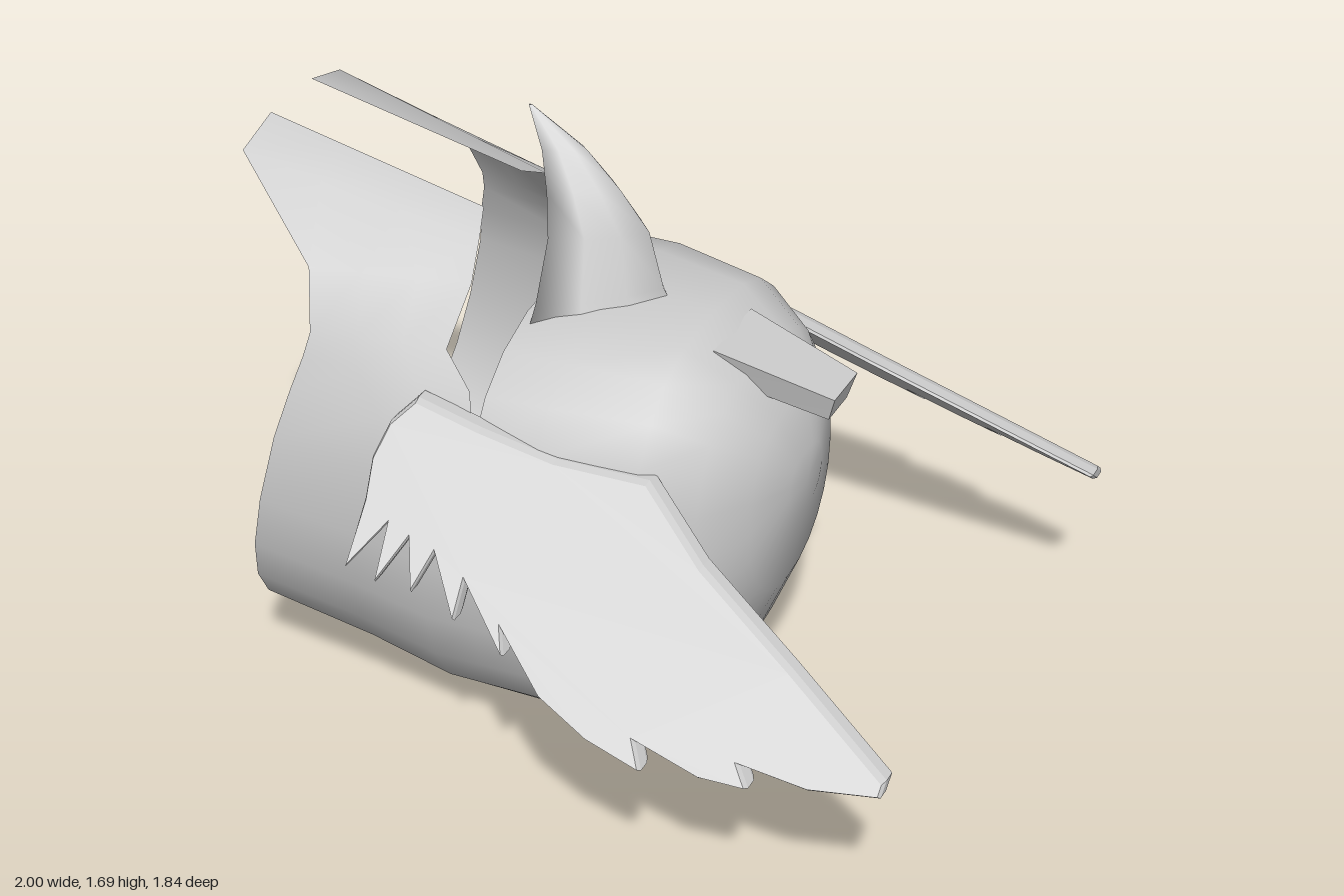
import * as THREE from 'three';
import { mergeGeometries, mergeVertices } from 'three/addons/utils/BufferGeometryUtils.js';

const material = new THREE.MeshStandardMaterial({ color: 0xcccccc, side: THREE.DoubleSide });

// Surface through a grid of [x, y, z] points
function surface(rows) {
  const n = rows[0].length, index = [];
  for (let i = 0; i < rows.length - 1; i++)
    for (let j = 0; j < n - 1; j++) {
      const a = i * n + j, b = a + 1, c = a + n, d = c + 1;
      index.push(a, b, c, b, d, c);
    }
  const g = new THREE.BufferGeometry();
  g.setAttribute('position', new THREE.Float32BufferAttribute(rows.flat(2), 3));
  g.setIndex(index);
  return g;
}

function smooth(parts) {
  const g = mergeVertices(mergeGeometries(parts), 1e-3);
  g.computeVertexNormals();
  return g;
}

function addMesh(parent, name, geometry) {
  const mesh = new THREE.Mesh(geometry, material);
  mesh.name = name;
  parent.add(mesh);
  return mesh;
}

const lerp = THREE.MathUtils.lerp;

// Shell stations from the open rear to the closed front: x, bottom, top, half width, tilt
const stations = [
  [-0.95, 0.12, 1.25, 0.56, 0.235], [-0.62, 0.07, 1.25, 0.56, 0.15],
  [-0.37, 0.01, 1.25, 0.56, 0.05], [-0.22, 0.01, 1.25, 0.55, 0],
  [-0.05, 0.01, 1.26, 0.54, 0], [0.2, 0.1, 1.24, 0.47, 0],
  [0.33, 0.28, 1.15, 0.38, 0], [0.42, 0.5, 1.04, 0.25, 0],
  [0.46, 0.72, 0.9, 0.1, 0], [0.465, 0.81, 0.81, 0, 0],
];

// Point on a station; the upper half is squarer than the lower half
function shellPoint([x, bottom, top, width, tilt], degrees) {
  const t = THREE.MathUtils.degToRad(degrees);
  const power = Math.sin(t) > 0 ? 0.75 : 0.95;
  const bend = (v) => Math.sign(v) * Math.abs(v) ** power;
  const middle = lerp(bottom, top, 0.52);
  const radius = Math.sin(t) > 0 ? top - middle : middle - bottom;
  const y = middle + radius * bend(Math.sin(t));
  return [x + tilt * (y - bottom), y, width * bend(Math.cos(t))];
}

const arc = (list, from, count) =>
  list.map((s) => Array.from({ length: count + 1 }, (_, j) => shellPoint(s, from - 15 * j)));

// Raised rear flap: [rear edge, front edge] from the top ridge down
function flap(side) {
  const edges = [
    [[-1, 1.56, 0.1], [-0.39, 1.44, 0.1]],
    [[-1, 1.52, 0.24], [-0.36, 1.4, 0.18]],
    [[-0.73, 1.33, 0.39], [-0.33, 1.33, 0.28]],
    [[-0.7, 1.18, 0.45], [-0.35, 1.19, 0.38]],
    [[-0.71, 1.12, 0.475], [-0.26, 1.12, 0.43]],
  ];
  const rows = [0, 1, 2, 3].map((i) => {
    const column = edges.map(([r, f]) => r.map((v, k) => lerp(v, f[k], i / 3)));
    column.push(shellPoint(stations[i], 30));
    const placed = column.map(([x, y, z]) => [x, y, z * side]);
    return side > 0 ? placed : placed.reverse();
  });
  return surface(rows);
}

// Curved crest with a ridge in front and a hollow back: y, back x, front x, half width
function crest() {
  const levels = [
    [1.17, -0.2, 0.11, 0.26], [1.27, -0.19, 0.06, 0.21], [1.42, -0.19, 0.02, 0.14],
    [1.52, -0.215, -0.06, 0.095], [1.61, -0.25, -0.15, 0.05], [1.7, -0.31, -0.3, 0.002],
  ];
  return surface(levels.map(([y, b, f, w]) => [
    [f, 0], [lerp(b, f, 0.75), 0.38], [lerp(b, f, 0.4), 0.75], [b, 1], [lerp(b, f, 0.2), 0],
    [b, -1], [lerp(b, f, 0.4), -0.75], [lerp(b, f, 0.75), -0.38], [f, 0],
  ].map(([x, k]) => [x, y, k * w]).reverse()));
}

// Blunt beak, tapered by moving the corners of a box
function beak() {
  const g = new THREE.BoxGeometry(1, 1, 1);
  const p = g.attributes.position;
  for (let i = 0; i < p.count; i++) {
    const tip = p.getX(i) > 0, top = p.getY(i) > 0;
    const x = tip ? (top ? 0.56 : 0.54) : 0.25;
    const y = tip ? (top ? 1.12 : 1.05) : (top ? 1.2 : 1.11);
    const width = (tip ? 0.07 : 0.11) * (top ? 1 : 0.8);
    p.setXYZ(i, x, y, Math.sign(p.getZ(i)) * width);
  }
  g.computeVertexNormals();
  return g;
}

// Feathered wing: a side outline sheared onto a sloping plane
function wing() {
  const outline = [
    [-0.42, 1.0], [-0.41, 1.06], [-0.37, 1.1], [-0.2, 1.06], [0, 1.02], [0.23, 1.0],
    [0.42, 0.87], [0.7, 0.72], [0.99, 0.56], [0.99, 0.54], [0.83, 0.54], [0.65, 0.57],
    [0.69, 0.53], [0.58, 0.54], [0.4, 0.59], [0.44, 0.54], [0.3, 0.58], [0.16, 0.64],
    [0.01, 0.75], [0.04, 0.7], [-0.11, 0.82], [-0.1, 0.75], [-0.2, 0.86], [-0.22, 0.79],
    [-0.27, 0.88], [-0.31, 0.8], [-0.33, 0.9], [-0.39, 0.82], [-0.4, 0.93],
  ].map(([x, y]) => new THREE.Vector2(x, y));
  const g = new THREE.ExtrudeGeometry(new THREE.Shape(outline), {
    depth: 0.025, bevelEnabled: true, bevelThickness: 0.01, bevelSize: 0.006, bevelSegments: 1,
  });
  const p = g.attributes.position;
  for (let i = 0; i < p.count; i++) {
    const x = p.getX(i), y = p.getY(i);
    p.setZ(i, 1.63 - 0.29 * x - 1.16 * y + p.getZ(i) * 1.3);
  }
  g.computeVertexNormals();
  return g;
}

export function createModel() {
  const model = new THREE.Group();
  model.name = 'wingedShell';

  // Hollow shell: lower bowl, front dome and two rear flaps joined smoothly
  addMesh(model, 'shell', smooth([
    surface(arc(stations, 30, 16)),
    surface(arc(stations.slice(3), 150, 8)),
    flap(1), flap(-1),
  ]));
  addMesh(model, 'crest', smooth([crest()]));
  addMesh(model, 'beak', beak());

  // Mirrored pair of wings
  const wingGeometry = wing();
  addMesh(model, 'leftWing', wingGeometry);
  addMesh(model, 'rightWing', wingGeometry).scale.z = -1;
  return model;
}
